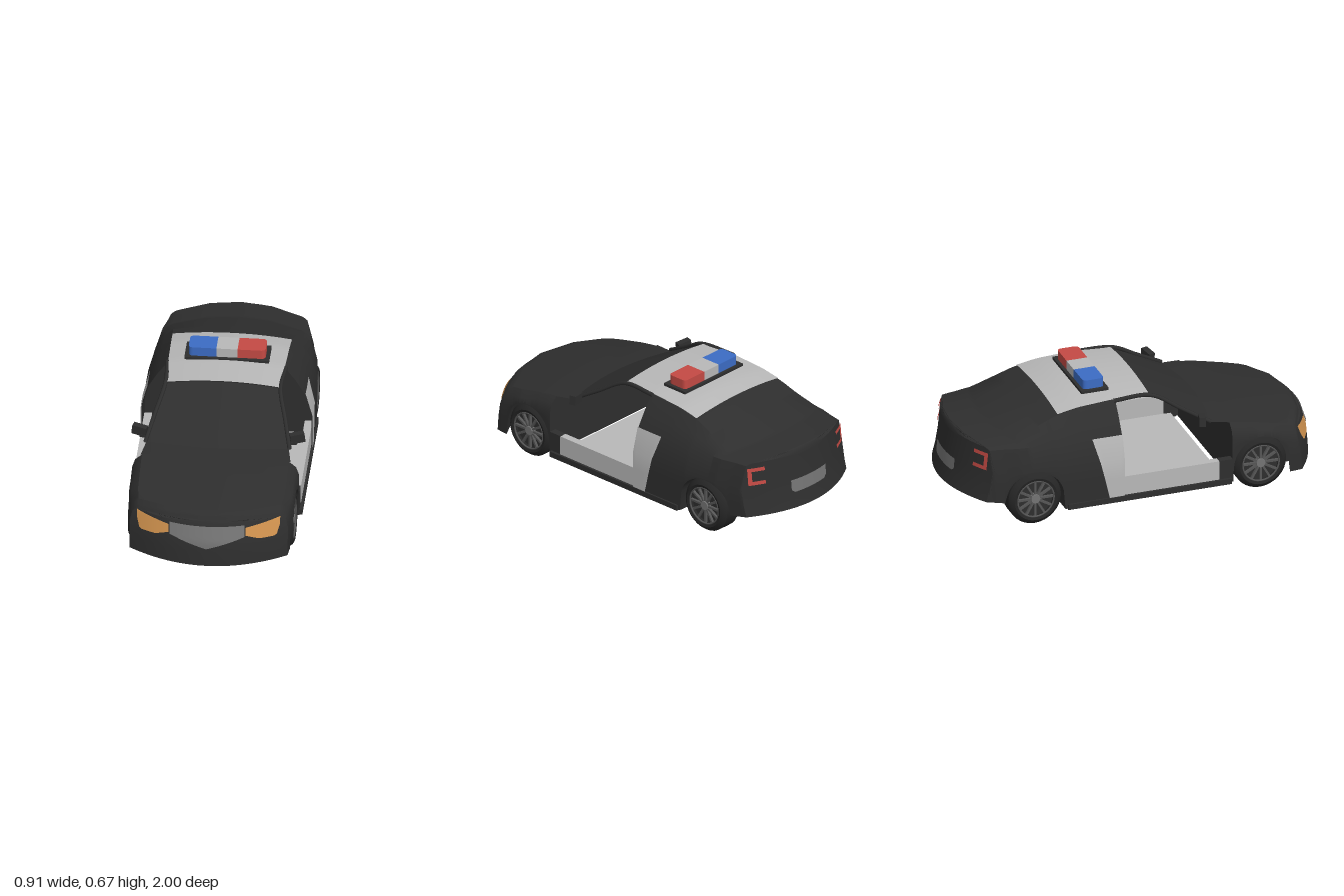
import * as THREE from 'three';
import { toCreasedNormals } from 'three/addons/utils/BufferGeometryUtils.js';

const mat = (name, color) => {
  const m = new THREE.MeshStandardMaterial({ color, side: THREE.DoubleSide });
  m.name = name;
  return m;
};
const { lerp, clamp } = THREE.MathUtils;

// Piecewise linear lookup in a table of [key, value] with rising keys
function look(table, k) {
  if (k <= table[0][0]) return table[0][1];
  for (let i = 1; i < table.length; i++) {
    const [a, va] = table[i - 1], [b, vb] = table[i];
    if (k <= b) return lerp(va, vb, (k - a) / (b - a));
  }
  return table[table.length - 1][1];
}

// Surface through rows of points
function grid(rows, crease = 0.6) {
  const n = rows[0].length, index = [];
  for (let i = 0; i < rows.length - 1; i++)
    for (let j = 0; j < n - 1; j++) {
      const a = i * n + j, c = a + n;
      index.push(a, c, a + 1, a + 1, c, c + 1);
    }
  const g = new THREE.BufferGeometry();
  g.setAttribute('position', new THREE.Float32BufferAttribute(rows.flat(2), 3));
  g.setIndex(index);
  return toCreasedNormals(g, crease);
}
const steps = (a, b, n, f) => Array.from({ length: n + 1 }, (_, i) => f(lerp(a, b, i / n)));

// Body outlines along z, and the lean of nose and tail by height
const WIDTH = [[-1, .38], [-.8, .42], [-.5, .44], [-.2, .442], [.3, .435], [.6, .432], [.8, .43], [1, .41]];
const TOP = [[-1, .462], [-.93, .465], [-.78, .475], [-.6, .53], [-.46, .572], [-.35, .592], [-.15, .604],
  [.05, .597], [.06, .415], [.4, .41], [.6, .387], [.9, .34], [.95, .322], [1, .31]];
const ROOF_WIDTH = [[-1, .32], [-.75, .335], [-.6, .32], [-.45, .31], [.05, .3]];
const BOTTOM = [[-1, .15], [-.8, .115], [-.74, .07], [1, .066]];
const NOSE = [[.07, .995], [.2, .985], [.29, .955], [.34, .92]];
const TAIL = [[.15, -1], [.195, -1], [.21, -.978], [.44, -.955], [.465, -.94]];

const bow = (zs, x) => Math.sign(zs) * .85 * clamp((Math.abs(zs) - .5) / .4, 0, 1) * x * x;
const bodyZ = (zs, x, y) => clamp(zs, look(TAIL, y), look(NOSE, y)) - bow(zs, x);
const noseZ = (x, y) => bodyZ(1, x, y);
const tailZ = (x, y) => bodyZ(-1, x, y);
const sideX = (z, y) => look(WIDTH, z) - look([[.3, 0], [.43, .035]], y);

// Half section from the lower edge up to the centre line; the edge rises over the wheels
function halfSection(zs) {
  const w = look(WIDTH, zs), t = look(TOP, zs), d = Math.abs(Math.abs(zs - bow(zs, w)) - .62);
  const b = Math.max(look(BOTTOM, zs), d < .152 ? .145 + Math.sqrt(.152 ** 2 - d * d) : 0);
  if (zs > 0) {
    const s = Math.max(t - .09, b + .004);
    return [[w, b], [w, (b + s) / 2], [w, s], [w - .015, t - .045], [w - .05, t - .015], [w / 2, t - .004], [0, t]];
  }
  const r = look(ROOF_WIDTH, zs), belt = Math.min(.43, t - .035);
  return [[w, b], [w, Math.max(.205, b + .002)], [w, .3], [w - .035, belt],
    [lerp(w - .035, r, .5), lerp(belt, t - .02, .55)], [r, t - .022], [r / 2, t - .005], [0, t]];
}

// Closed section, with wheel wells formed below
function ring(zs) {
  const h = halfSection(zs), u = look(BOTTOM, zs), b = h[0][1];
  const pts = [[.3, u], [.3, b], ...h, ...h.slice(0, -1).reverse().map(([x, y]) => [-x, y]), [-.3, b], [-.3, u], [.3, u]];
  return pts.map(([x, y]) => [x, y, bodyZ(zs, x, y)]);
}
const endFace = (zs) => grid(halfSection(zs).map(([x, y]) => steps(x, -x, 20, (px) => [px, y, bodyZ(zs, px, y)])));

// Thin painted patch lying on the nose or tail
function patch(x0, x1, low, high, surface, lift) {
  return grid(steps(0, 1, 6, (v) => steps(x0, x1, 12, (x) => {
    const y = lerp(look(low, x), look(high, x), v);
    return [x, y, surface(x, y) + lift];
  })));
}
const flat = (y) => [[0, y]];

export function createModel() {
  const black = mat('black paint', 0x2e2e2e), white = mat('white paint', 0xb8b8b8);
  const grey = mat('grille grey', 0x747474), steel = mat('rim grey', 0x565656);
  const rubber = mat('tyre rubber', 0x262626), amber = mat('headlight amber', 0xd0924e);
  const red = mat('red lamp', 0xc44a44), blue = mat('blue lamp', 0x3c6cc4);
  const model = new THREE.Group();
  const add = (name, geo, material, parent = model) => {
    const m = new THREE.Mesh(geo, material);
    m.name = name;
    parent.add(m);
    return m;
  };
  const box = (name, material, x, y, z, w, h, d, parent) => {
    const m = add(name, new THREE.BoxGeometry(w, h, d), material, parent);
    m.position.set(x, y, z);
    return m;
  };

  // Body shells in front of and behind the open doorways
  add('frontBody', grid(steps(1, .46, 54, ring)), black);
  add('noseFace', endFace(1), black);
  add('firewall', endFace(.46), black);
  add('rearBody', grid(steps(-.14, -1, 80, ring)), black);
  add('tailFace', endFace(-1), black);
  add('rearBulkhead', endFace(-.32), black);

  // Windshield, cowl and roof
  const glassRow = (t) => steps(-1, 1, 12, (u) => [u * lerp(.37, .295, t),
    lerp(.402, .576, t) + lerp(.01, .02, t) * (1 - u * u), lerp(.4, .05, t) - lerp(.045, 0, t) * u * u]);
  add('windshield', grid(steps(0, 1, 6, glassRow)), black);
  add('cowl', grid([steps(-1, 1, 12, (u) => [u * .39, .39 + .014 * (1 - u * u), .465]), glassRow(0)]), black);
  add('roof', grid(steps(.05, -.46, 16, (z) => steps(-1, 1, 12, (u) =>
    [u * look(ROOF_WIDTH, z), look(TOP, Math.min(z, .05)) + .005 - .022 * u * u, z]))), white);

  // Cabin floor
  box('floor', white, 0, .079, .06, .82, .026, .72);

  for (const s of [1, -1]) {
    // Sill, doorway foot and white rear door panel
    box('sillPanel', white, s * .417, .145, .07, .04, .11, .63);
    box('sillTrim', black, s * .424, .08, 0, .052, .03, .9);
    box('doorwayFoot', black, s * .415, .135, .423, .04, .13, .08);
    const heights = [[.09, -.22], [.2, -.245], [.3, -.27], [.43, -.305]];
    add('rearDoorPanel', grid(heights.map(([y, end]) =>
      steps(-.138, end, 6, (z) => [s * (sideX(z, y) + .005), y, z]))), white);

    // Windshield pillar running into the roof rail
    const path = new THREE.CatmullRomCurve3([[.375, .405, .36], [.338, .49, .21], [.3, .574, .06], [.308, .58, -.15]]
      .map(([x, y, z]) => new THREE.Vector3(s * x, y, z)));
    add('pillar', new THREE.TubeGeometry(path, 20, .011, 6), black);

    // Door mirror
    const mirror = new THREE.Group();
    mirror.name = 'mirror';
    mirror.position.set(s * .41, .44, .3);
    mirror.rotation.y = s * .25;
    box('mirrorHousing', black, 0, 0, 0, .075, .05, .035, mirror).rotation.z = s * .12;
    box('mirrorArm', black, -s * .03, -.025, .01, .05, .014, .02, mirror);
    model.add(mirror);

    // Headlight
    const low = [[.2, .232], [.27, .208], [.35, .205], [.362, .215], [.372, .26]];
    const high = [[.2, .272], [.372, .296]];
    const mirrored = (t) => t.map(([x, y]) => [s * x, y]).sort((a, b) => a[0] - b[0]);
    add('headlight', patch(s * .2, s * .372, mirrored(low), mirrored(high), noseZ, .006), amber);

    // C-shaped tail light, closed on the outer side
    for (const [a, b, y0, y1] of [[.27, .355, .395, .415], [.27, .355, .32, .34], [.335, .355, .32, .415]])
      add('tailLight', patch(s * a, s * b, flat(y0), flat(y1), tailZ, -.008), red);
  }

  // Grille and rear plate
  add('grille', patch(-.195, .195, [[-.195, .225], [0, .166], [.195, .225]], flat(.285), noseZ, .006), grey);
  add('rearPlate', patch(-.13, .13, [[-.13, .245], [-.11, .23], [.11, .23], [.13, .245]], flat(.3), tailZ, -.006), grey);

  // Roof light bar
  box('lightBarBase', black, 0, .608, -.22, .44, .014, .15);
  box('lightBarCentre', white, 0, .64, -.22, .11, .05, .115);
  for (const [s, m] of [[1, red], [-1, blue]]) {
    const r = .025, w = .145, d = .0575, shape = new THREE.Shape();
    shape.moveTo(0, -d).lineTo(w - r, -d).quadraticCurveTo(w, -d, w, r - d)
      .lineTo(w, d - r).quadraticCurveTo(w, d, w - r, d).lineTo(0, d);
    const lamp = add('lightBarLamp', new THREE.ExtrudeGeometry(shape, { depth: .05, bevelEnabled: false }), m);
    lamp.rotation.set(-Math.PI / 2, 0, s > 0 ? 0 : Math.PI);
    lamp.position.set(s * .055, .615, -.22);
  }

  // Wheels: tyre, dish, spokes and hub
  const tyre = new THREE.LatheGeometry([[.1, .02], [.102, .05], [.118, .055], [.134, .045], [.145, .03], [.145, -.055], [0, -.055]]
    .map(([r, y]) => new THREE.Vector2(r, y)), 32);
  const tyreGeo = toCreasedNormals(tyre, .5);
  for (const s of [1, -1])
    for (const z of [.62, -.62]) {
      const wheel = new THREE.Group();
      wheel.name = 'wheel';
      wheel.position.set(s * .375, .145, z);
      wheel.rotation.z = -s * Math.PI / 2;
      add('tyre', tyreGeo, rubber, wheel);
      const dish = add('rimDish', new THREE.CylinderGeometry(.102, .102, .01, 32), black, wheel);
      dish.position.y = .022;
      const rim = add('rimRing', new THREE.TorusGeometry(.1, .005, 6, 32), steel, wheel);
      rim.rotation.x = Math.PI / 2;
      rim.position.y = .048;
      for (let i = 0; i < 12; i++) {
        const a = i / 12 * Math.PI * 2;
        const spoke = box('spoke', steel, Math.cos(a) * .06, .038, Math.sin(a) * .06, .08, .014, .011, wheel);
        spoke.rotation.y = -a;
      }
      const hub = add('hub', new THREE.CylinderGeometry(.024, .03, .03, 16), grey, wheel);
      hub.position.y = .035;
      model.add(wheel);
    }
  return model;
}
